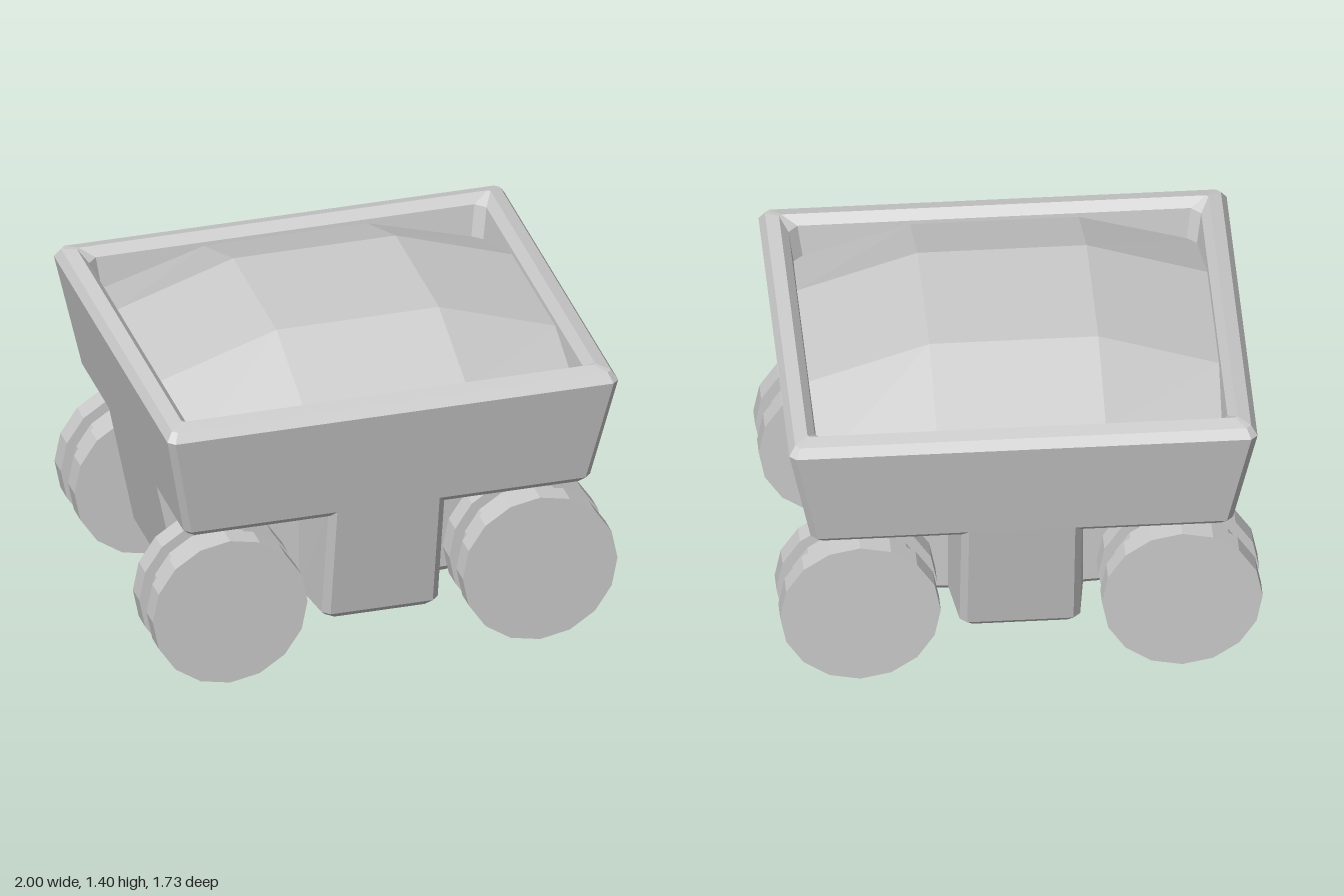
import * as THREE from 'three';

const material = new THREE.MeshStandardMaterial({ color: 0xcccccc, flatShading: true });

// Mirror one quadrant of [x, z] points (listed from +z round to +x) into a closed ring.
function ring(y, quadrant) {
  const out = [];
  for (const [sx, sz] of [[1, 1], [1, -1], [-1, -1], [-1, 1]]) {
    const pts = sx * sz > 0 ? quadrant : [...quadrant].reverse();
    for (const [x, z] of pts) out.push([sx * x, y, sz * z]);
  }
  return out;
}

// Rectangle with cut corners.
const rect = (y, hx, hz, c) => ring(y, [[hx - c, hz], [hx, hz - c]]);

// Skin a list of rings from bottom to top, optionally closing the bottom.
function loft(name, rings, capBottom = false) {
  const pos = [];
  const n = rings[0].length;
  for (let r = 0; r < rings.length - 1; r++) {
    const a = rings[r], b = rings[r + 1];
    for (let i = 0; i < n; i++) {
      const j = (i + 1) % n;
      pos.push(...a[i], ...a[j], ...b[j], ...a[i], ...b[j], ...b[i]);
    }
  }
  if (capBottom) {
    const a = rings[0];
    for (let i = 0; i < n; i++) pos.push(0, a[0][1], 0, ...a[(i + 1) % n], ...a[i]);
  }
  const geo = new THREE.BufferGeometry();
  geo.setAttribute('position', new THREE.Float32BufferAttribute(pos, 3));
  geo.computeVertexNormals();
  const mesh = new THREE.Mesh(geo, material);
  mesh.name = name;
  return mesh;
}

// Tapered upper hopper: sloping wheel-arch ceiling, outer walls, rim and inner walls.
function makeHopper() {
  return loft('hopper', [
    rect(0.70, 0.28, 0.41, 0.004),
    rect(0.73, 0.845, 0.745, 0.02),
    rect(0.76, 0.875, 0.775, 0.027),
    rect(1.235, 0.97, 0.865, 0.027),
    rect(1.275, 0.945, 0.838, 0.02),
    rect(1.29, 0.89, 0.78, 0.01),
    rect(1.25, 0.855, 0.75, 0.04),
    rect(1.0, 0.82, 0.715, 0.04),
  ]);
}

// Cross-shaped lower body, leaving a notch at each corner for a wheel.
function makeLowerBody() {
  const cross = (y, hx, hz, inset = 0) => ring(y, [
    [0.22 - inset, hz], [0.25 - inset, hz - 0.03], [0.28 - inset, 0.41 - inset],
    [hx - 0.03, 0.38 - inset], [hx, 0.35 - inset],
  ]);
  return loft('lowerBody', [
    cross(0.195, 0.735, 0.643, 0.025),
    cross(0.225, 0.768, 0.673),
    cross(0.76, 0.875, 0.775),
  ], true);
}

// Heaped load: a 3 x 3 patch, high in the middle and lowest at the corners.
function makeLoad() {
  const grid = new THREE.PlaneGeometry(3, 3, 3, 3).rotateX(-Math.PI / 2);
  const p = grid.attributes.position;
  for (let i = 0; i < p.count; i++) {
    const x = p.getX(i), z = p.getZ(i);
    const ex = Math.abs(x) > 1, ez = Math.abs(z) > 1;
    const pull = ex && ez ? 0.015 : 0;
    p.setXYZ(i,
      Math.sign(x) * (ex ? 0.85 - pull : 0.35),
      ex && ez ? 1.1 : ex || ez ? 1.235 : 1.4,
      Math.sign(z) * (ez ? 0.745 - pull : 0.32));
  }
  const geo = grid.toNonIndexed();
  geo.computeVertexNormals();
  const mesh = new THREE.Mesh(geo, material);
  mesh.name = 'load';
  return mesh;
}

// Grooved wheel: two flanges, a narrower tread between them and a short axle.
function makeWheel(sx, sz) {
  const wheel = new THREE.Group();
  wheel.name = (sz > 0 ? 'front' : 'back') + (sx > 0 ? 'Left' : 'Right') + 'Wheel';
  const parts = [
    ['innerFlange', 0.333, 0.43, 0.525],
    ['tread', 0.288, 0.525, 0.63],
    ['outerFlange', 0.333, 0.63, 0.725],
    ['axle', 0.08, 0.36, 0.43],
  ];
  for (const [name, radius, z0, z1] of parts) {
    const geo = new THREE.CylinderGeometry(radius, radius, z1 - z0, 16).rotateX(Math.PI / 2);
    const mesh = new THREE.Mesh(geo, material);
    mesh.name = name;
    mesh.position.z = sz * (z0 + z1) / 2;
    wheel.add(mesh);
  }
  wheel.position.set(sx * 0.667, 0.333, 0);
  return wheel;
}

export function createModel() {
  const cart = new THREE.Group();
  cart.name = 'mineCart';
  cart.add(makeHopper(), makeLowerBody(), makeLoad());
  for (const sx of [1, -1]) for (const sz of [1, -1]) cart.add(makeWheel(sx, sz));
  return cart;
}
